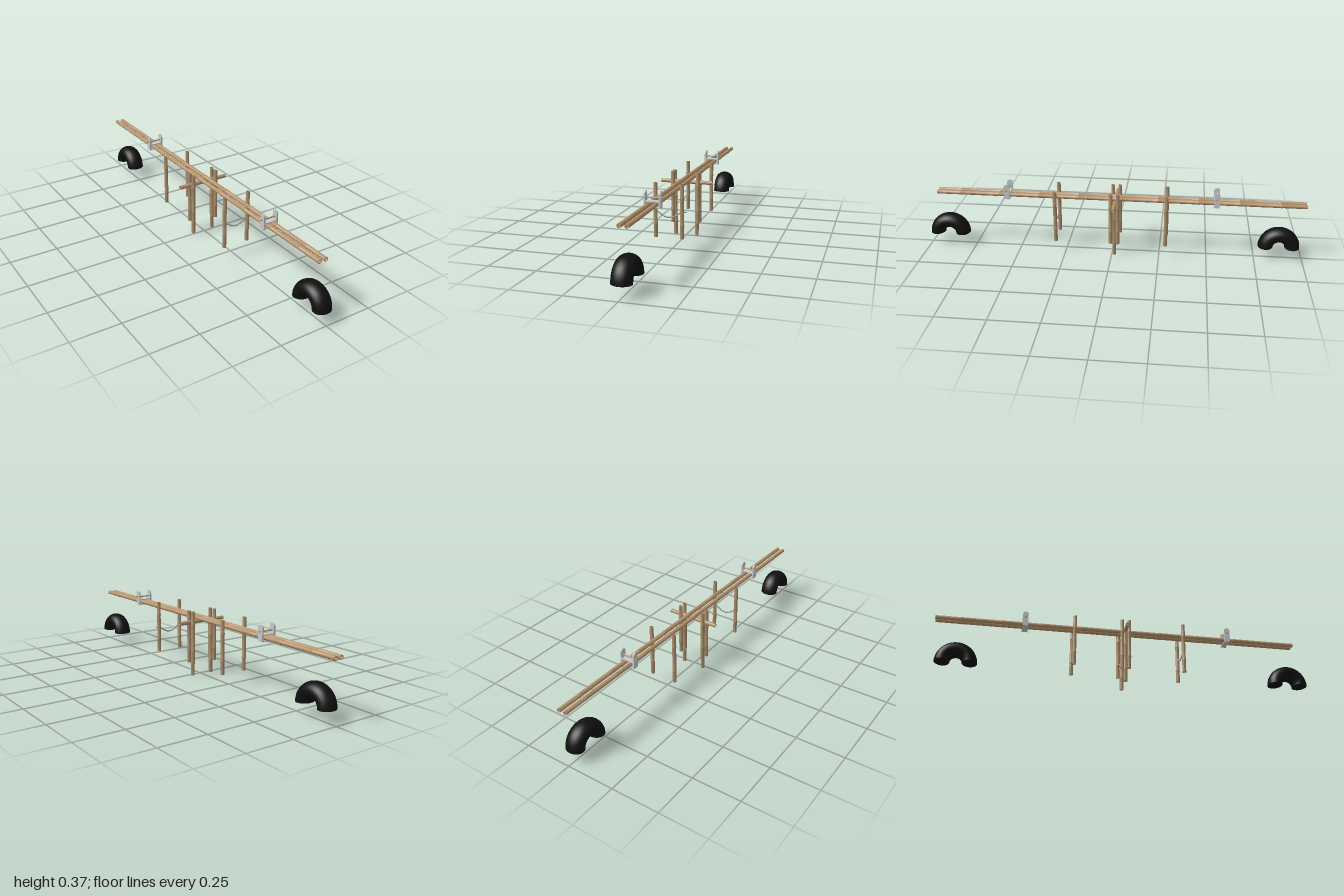
import * as THREE from 'three';
import { toCreasedNormals } from 'three/addons/utils/BufferGeometryUtils.js';

const mat = (name, color) => {
  const m = new THREE.MeshStandardMaterial({ color });
  m.name = name;
  return m;
};

export function createModel() {
  const model = new THREE.Group();
  model.name = 'bambooSeesaw';

  const postWood = mat('post bamboo', 0xa88d6b);
  const beamWood = mat('beam bamboo', 0xb4926c);
  const metal = mat('light metal', 0xc6c9c9);
  const ropeGrey = mat('rope grey', 0x9d9c98);
  const rubber = mat('black rubber', 0x101010);

  const add = (name, geometry, material, x = 0, y = 0, z = 0, parent = model) => {
    const mesh = new THREE.Mesh(geometry, material);
    mesh.name = name;
    mesh.position.set(x, y, z);
    parent.add(mesh);
    return mesh;
  };

  // Bamboo cane along +y: recessed hollow ends and raised joint rings
  const cane = (length, radius, joints) => {
    const inner = radius * 0.7, depth = 0.012;
    const profile = [[0, depth], [inner, depth], [inner, 0], [radius, 0]];
    for (const j of joints) {
      profile.push([radius, j - 0.005], [radius * 1.1, j - 0.002], [radius * 1.1, j + 0.002], [radius, j + 0.005]);
    }
    profile.push([radius, length], [inner, length], [inner, length - depth], [0, length - depth]);
    const lathe = new THREE.LatheGeometry(profile.map(([x, y]) => new THREE.Vector2(x, y)), 20);
    return toCreasedNormals(lathe, 0.6);
  };

  // Tall guide posts in four pairs
  const tallPost = cane(0.277, 0.01, [0.067, 0.207]);
  for (const z of [0.298, 0.005, -0.032, -0.283]) {
    for (const x of [-0.071, 0.066]) add('guidePost', tallPost, postWood, x, 0.07, z);
  }

  // Pivot frame: two bearing posts and the cross bar
  const shortPost = cane(0.283, 0.01, [0.067, 0.207]);
  for (const x of [-0.0615, 0.056]) add('pivotPost', shortPost, postWood, x, 0, -0.0135);
  const bar = add('crossBar', cane(0.278, 0.01, []), beamWood, -0.14, 0.29, -0.0145);
  bar.rotation.z = -Math.PI / 2;

  // Twin seesaw poles
  const joints = [0.13, 0.34, 0.55, 0.76, 0.97, 1.18, 1.39, 1.6, 1.81];
  const pole = cane(1.938, 0.0105, joints);
  for (const x of [-0.0135, 0.021]) {
    add('seesawPole', pole, beamWood, x, 0.306, -0.999).rotation.x = Math.PI / 2;
  }

  // Handle brackets: round-topped side plates, clamp plates and a grip
  const plateShape = new THREE.Shape();
  plateShape.moveTo(-0.015, 0.288);
  plateShape.lineTo(0.015, 0.288);
  plateShape.lineTo(0.015, 0.354);
  plateShape.absarc(0, 0.354, 0.015, 0, Math.PI, false);
  plateShape.closePath();
  const plate = new THREE.ExtrudeGeometry(plateShape, { depth: 0.0085, bevelEnabled: false, curveSegments: 16 });
  plate.rotateY(Math.PI / 2);
  const clamp = new THREE.BoxGeometry(0.064, 0.005, 0.028);
  const grip = new THREE.CylinderGeometry(0.0038, 0.0038, 0.097, 16);
  grip.rotateZ(Math.PI / 2);
  for (const z of [0.556, -0.54]) {
    const handle = new THREE.Group();
    handle.name = 'handle';
    handle.position.z = z;
    model.add(handle);
    for (const x of [-0.037, 0.0355]) add('handlePlate', plate, metal, x, 0, 0, handle);
    for (const y of [0.2915, 0.319]) add('clampPlate', clamp, metal, 0.0035, y, 0, handle);
    add('handGrip', grip, beamWood, 0.0025, 0.336, 0, handle);
  }

  // Twisted rope sagging between the front posts
  const path = new THREE.CatmullRomCurve3([
    [-0.075, 0.206], [-0.055, 0.199], [-0.03, 0.182], [-0.0025, 0.175],
    [0.025, 0.182], [0.05, 0.198], [0.066, 0.206], [0.087, 0.207],
  ].map(([x, y]) => new THREE.Vector3(x, y, 0.298)));
  const rope = new THREE.Group();
  rope.name = 'rope';
  model.add(rope);
  for (let s = 0; s < 3; s++) {
    const points = [];
    for (let i = 0; i <= 120; i++) {
      const t = i / 120, a = t * Math.PI * 20 + s * Math.PI * 2 / 3;
      const p = path.getPointAt(t), d = path.getTangentAt(t);
      const side = Math.cos(a) * 0.0019;
      points.push(new THREE.Vector3(p.x - d.y * side, p.y + d.x * side, p.z + Math.sin(a) * 0.0019));
    }
    add('ropeStrand', new THREE.TubeGeometry(new THREE.CatmullRomCurve3(points), 160, 0.0021, 8), ropeGrey, 0, 0, 0, rope);
  }

  // Half tyres as landing buffers, with closed cut faces
  const R = 0.069, r = 0.039, widen = 1.24;
  const arch = new THREE.TorusGeometry(R, r, 24, 32, Math.PI);
  const cut = new THREE.CircleGeometry(r, 24);
  cut.rotateX(Math.PI / 2);
  for (const z of [0.892, -0.876]) {
    const tyre = new THREE.Group();
    tyre.name = 'halfTyre';
    tyre.position.set(0.0025, 0.065, z);
    tyre.rotation.y = Math.PI / 2;
    tyre.scale.z = widen;
    model.add(tyre);
    add('tyreArch', arch, rubber, 0, 0, 0, tyre);
    for (const x of [-R, R]) add('tyreCutFace', cut, rubber, x, 0, 0, tyre);
  }

  return model;
}
